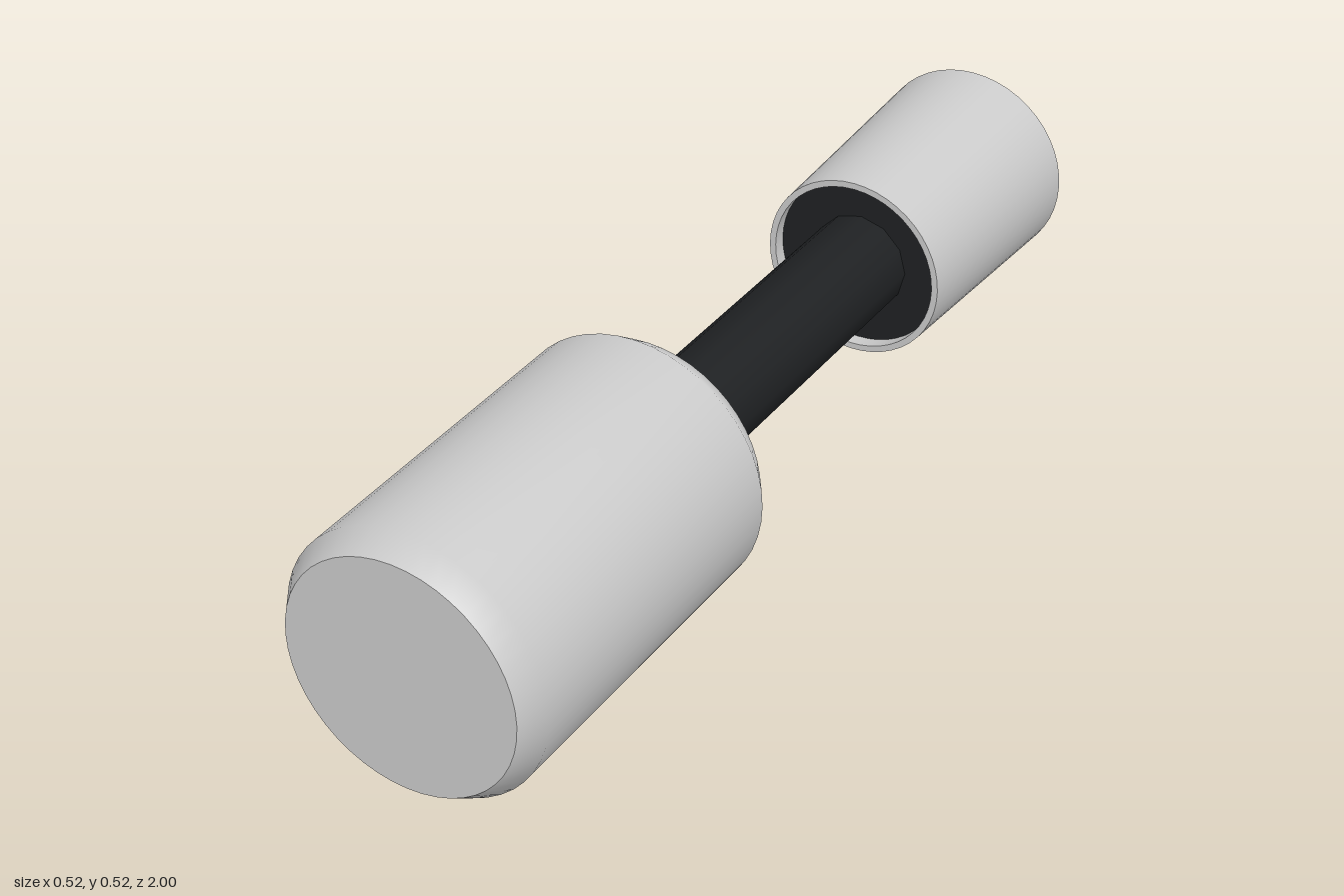
import * as THREE from 'three';
import { mergeGeometries } from 'three/addons/utils/BufferGeometryUtils.js';

const AXIS_Y = 0.258;

// Revolves [radius, z] profiles around the z axis; each profile is smooth, joins between profiles stay sharp
function turned(name, profiles, segments, color) {
  const pieces = profiles.map((profile) =>
    new THREE.LatheGeometry(profile.map(([r, z]) => new THREE.Vector2(r, z)), segments));
  const geometry = mergeGeometries(pieces);
  geometry.rotateX(Math.PI / 2);
  const mesh = new THREE.Mesh(geometry, new THREE.MeshStandardMaterial({ color }));
  mesh.name = name;
  mesh.position.y = AXIS_Y;
  return mesh;
}

// Closed solid with flat ends and a smooth side running from low z to high z
function solid(name, side, segments, color) {
  const first = side[0];
  const last = side[side.length - 1];
  return turned(name, [[[0, first[1]], first], side, [last, [0, last[1]]]], segments, color);
}

export function createModel() {
  const model = new THREE.Group();
  model.name = 'cylinderTool';
  const dark = 0x1f2123;

  // Large chamfered front cylinder
  model.add(solid('head',
    [[0.228, 0.245], [0.258, 0.29], [0.258, 0.955], [0.228, 1]], 48, 0xcccccc));

  // Thin connecting rod
  model.add(solid('rod', [[0.1, -0.6], [0.1, 0.3]], 12, dark));

  // Flared sleeve, open at both ends
  const back = [0.207, -1], front = [0.187, -0.5];
  const innerBack = [0.195, -1], innerFront = [0.174, -0.5];
  model.add(turned('sleeve', [
    [back, front], [front, innerFront], [innerFront, innerBack], [innerBack, back],
  ], 48, 0xfafbfd));

  // Dark plug recessed inside the sleeve
  model.add(solid('plug', [[0.188, -0.84], [0.175, -0.53]], 48, dark));

  return model;
}
